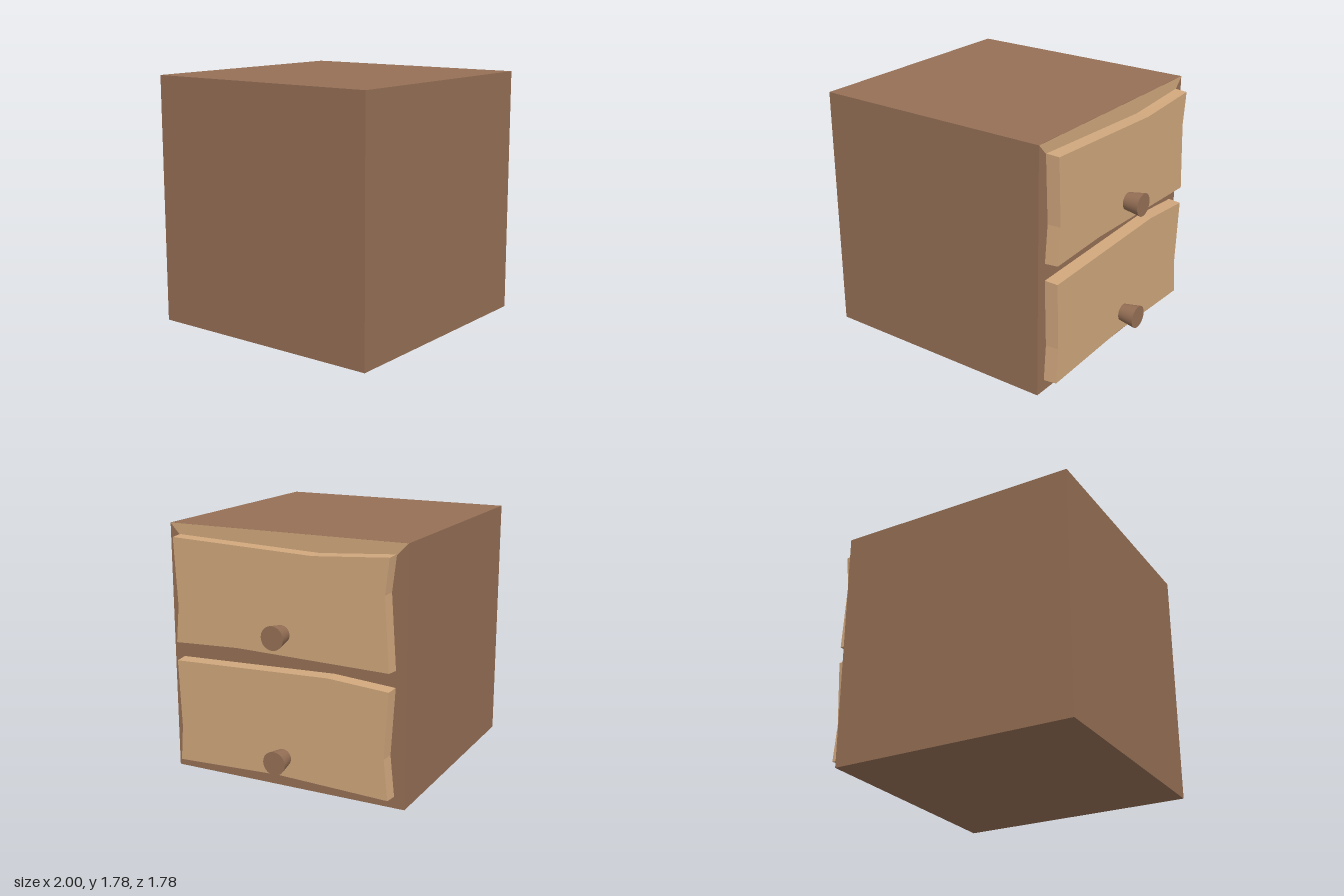
import * as THREE from 'three';

const wood = new THREE.MeshStandardMaterial({ color: 0x956f55 });
const tan = new THREE.MeshStandardMaterial({ color: 0xcfa67c });

const FACE = 0.78;   // plane of the cabinet's open side
const DEPTH = 0.095; // thickness of a drawer front

// Hand-cut outlines as [z, y], going round from the upper +z corner
const upper = [[0.815, 1.705], [0.79, 1.22], [0.815, 0.953], [0.32, 0.974],
  [-0.815, 0.95], [-0.78, 1.46], [-0.81, 1.705], [-0.265, 1.667]];
const lower = [[0.815, 0.832], [0.795, 0.34], [0.815, 0.081], [0.01, 0.11],
  [-0.815, 0.081], [-0.785, 0.37], [-0.815, 0.836], [-0.375, 0.869]];

const outline = (pts) => new THREE.Shape(pts.map(([z, y]) => new THREE.Vector2(-z, y)));

function mesh(name, geometry, material) {
  const m = new THREE.Mesh(geometry, material);
  m.name = name;
  return m;
}

// Slab whose outer face is drawn in slightly towards its centre
function drawerFront(name, pts, centreY) {
  const geo = new THREE.ExtrudeGeometry(outline(pts), { depth: DEPTH, bevelEnabled: false });
  const p = geo.attributes.position;
  for (let i = 0; i < p.count; i++) {
    if (p.getZ(i) < DEPTH / 2) continue;
    p.setX(i, p.getX(i) * 0.992);
    p.setY(i, centreY + (p.getY(i) - centreY) * 0.985);
  }
  geo.computeVertexNormals();
  geo.rotateY(Math.PI / 2).translate(FACE, 0, 0);
  return mesh(name, geo, tan);
}

// Flared round knob pointing along +x
function knob(name, y) {
  const geo = new THREE.CylinderGeometry(0.083, 0.06, 0.135, 32);
  geo.rotateZ(-Math.PI / 2).translate(0.9325, y, -0.03);
  return mesh(name, geo, wood);
}

export function createModel() {
  const group = new THREE.Group();
  group.name = 'bedsideCabinet';

  const body = mesh('cabinetBody', new THREE.BoxGeometry(1.78, 1.78, 1.78), wood);
  body.position.set(-0.11, 0.89, 0);
  group.add(body);

  // Pale strip above the upper drawer, mitred at the corners
  const strip = new THREE.ShapeGeometry(outline([[0.89, 1.78], [0.815, 1.70],
    [-0.265, 1.66], [-0.81, 1.70], [-0.89, 1.78]]));
  strip.rotateY(Math.PI / 2).translate(FACE + 0.002, 0, 0);
  group.add(mesh('topStrip', strip, tan));

  group.add(
    drawerFront('upperDrawer', upper, 1.33),
    drawerFront('lowerDrawer', lower, 0.47),
    knob('upperKnob', 1.12),
    knob('lowerKnob', 0.25),
  );
  return group;
}
